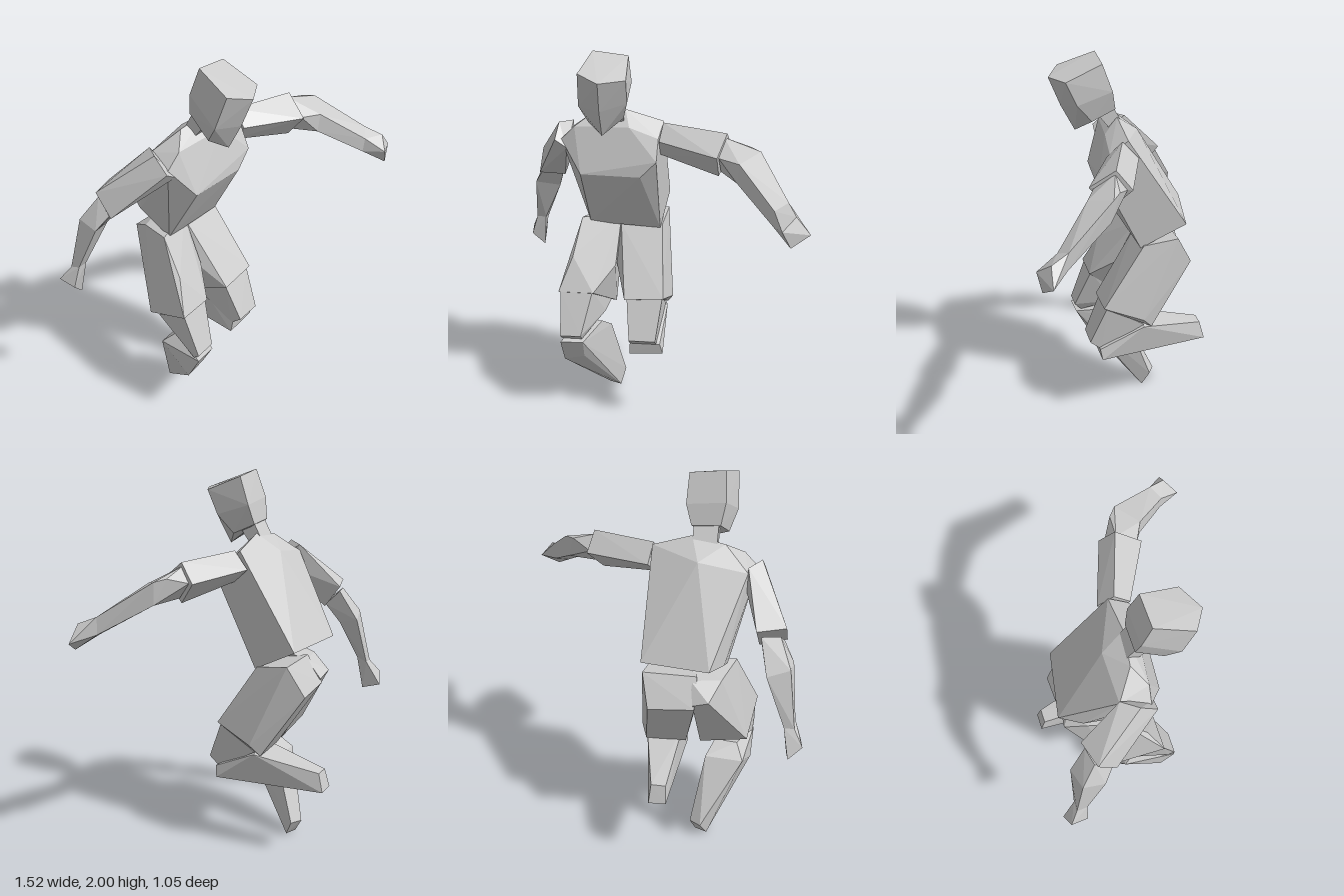
import * as THREE from 'three';
import { ConvexGeometry } from 'three/addons/geometries/ConvexGeometry.js';

const skin = new THREE.MeshStandardMaterial({ color: 0xcccccc });
skin.name = 'plainGrey';

// A faceted solid wrapped around its cross-section corners
function solid(name, ...rings) {
  const points = rings.flat().map((p) => new THREE.Vector3(...p));
  const mesh = new THREE.Mesh(new ConvexGeometry(points), skin);
  mesh.name = name;
  return mesh;
}

// A limb: consecutive cross-sections joined into named segments
function limb(name, segments) {
  const group = new THREE.Group();
  group.name = name;
  for (const [part, ...rings] of segments) group.add(solid(part, ...rings));
  return group;
}

export function createModel() {
  const model = new THREE.Group();
  model.name = 'crouchingFigure';

  // Torso: hips, chest, shoulders, upper back
  model.add(solid('torso',
    [[-0.36, 1.05, -0.115], [0.01, 1.03, -0.115], [0.04, 1.155, -0.35], [-0.3, 1.17, -0.41], [-0.36, 1.15, -0.3]],
    [[-0.374, 1.383, 0.08], [-0.07, 1.383, 0.1], [0.01, 1.465, 0.1]],
    [[-0.48, 1.54, 0], [0.015, 1.57, 0.05], [-0.41, 1.61, 0.01], [-0.13, 1.62, 0.04]],
    [[-0.44, 1.57, -0.14], [-0.32, 1.67, -0.05], [-0.2, 1.61, -0.145], [-0.156, 1.695, -0.03], [0.035, 1.637, -0.04]]));

  // Neck
  model.add(solid('neck',
    [[-0.28, 1.63, 0], [-0.16, 1.64, 0.01], [-0.16, 1.64, -0.07], [-0.28, 1.64, -0.07]],
    [[-0.28, 1.73, 0.08], [-0.16, 1.73, 0.08], [-0.16, 1.75, -0.01], [-0.28, 1.75, -0.01]]));

  // Head: five-sided, with a ridge down the face
  model.add(solid('head',
    [[-0.3, 2, 0.05], [-0.127, 1.98, 0.05], [-0.117, 1.903, 0.235], [-0.24, 1.9, 0.3], [-0.345, 1.93, 0.235]],
    [[-0.31, 1.86, 0], [-0.12, 1.84, 0], [-0.12, 1.78, 0.18], [-0.245, 1.75, 0.24], [-0.355, 1.76, 0.175]],
    [[-0.29, 1.75, -0.02], [-0.15, 1.74, -0.02], [-0.148, 1.685, 0.1], [-0.245, 1.615, 0.17], [-0.32, 1.665, 0.11]]));

  // Left arm, reaching out and forward
  const leftElbow = [[0.52, 1.555, 0.15], [0.42, 1.52, 0.25], [0.41, 1.425, 0.245], [0.51, 1.44, 0.16]];
  const leftWrist = [[0.655, 1.39, 0.385], [0.59, 1.36, 0.425], [0.585, 1.285, 0.42], [0.65, 1.3, 0.39]];
  model.add(limb('leftArm', [
    ['leftUpperArm',
      [[0.035, 1.637, -0.01], [0.02, 1.56, 0.065], [0.02, 1.475, 0], [0.05, 1.55, -0.09]],
      [[0.355, 1.625, 0.1], [0.312, 1.535, 0.22], [0.32, 1.415, 0.125], [0.38, 1.53, 0.025]]],
    ['leftElbow',
      [[0.34, 1.605, 0.1], [0.32, 1.53, 0.2], [0.33, 1.44, 0.13], [0.37, 1.53, 0.05], [0.47, 1.565, 0.11]], leftElbow],
    ['leftForearm', leftElbow, leftWrist],
    ['leftHand', leftWrist,
      [[0.69, 1.355, 0.47], [0.76, 1.27, 0.475], [0.67, 1.215, 0.51], [0.627, 1.3, 0.527]]],
  ]));

  // Right arm, hanging down and back
  const rightElbow = [[-0.68, 1.22, -0.4], [-0.57, 1.19, -0.43], [-0.565, 1.17, -0.33], [-0.69, 1.2, -0.29]];
  const rightWrist = [[-0.72, 0.95, -0.4], [-0.67, 0.95, -0.4], [-0.67, 0.93, -0.455], [-0.72, 0.93, -0.455]];
  model.add(limb('rightArm', [
    ['rightUpperArm',
      [[-0.5, 1.61, -0.06], [-0.51, 1.54, 0.02], [-0.44, 1.6, -0.14], [-0.45, 1.5, 0.02], [-0.43, 1.47, -0.1]],
      [[-0.645, 1.39, -0.31], [-0.507, 1.38, -0.35], [-0.52, 1.26, -0.26], [-0.65, 1.28, -0.22]]],
    ['rightElbow',
      [[-0.62, 1.35, -0.32], [-0.53, 1.35, -0.34], [-0.53, 1.27, -0.26], [-0.64, 1.28, -0.24]], rightElbow],
    ['rightForearm', rightElbow, rightWrist],
    ['rightHand', rightWrist,
      [[-0.765, 0.86, -0.5], [-0.7, 0.8, -0.527], [-0.69, 0.77, -0.43], [-0.755, 0.84, -0.41]]],
  ]));

  // Left leg, shin folded straight back
  model.add(limb('leftLeg', [
    ['leftThigh',
      [[-0.2, 1.04, -0.13], [0.02, 1.045, -0.13], [0.04, 1.075, -0.31], [-0.23, 1.07, -0.3], [0, 0.915, -0.395], [-0.23, 0.93, -0.385]],
      [[-0.22, 0.83, -0.08], [-0.16, 0.695, 0.09], [0.045, 0.71, 0.09], [0.08, 0.63, -0.12], [0.05, 0.57, -0.17], [-0.16, 0.57, -0.16]]],
    ['leftKnee',
      [[-0.15, 0.7, 0.07], [0.04, 0.71, 0.07], [0.04, 0.58, -0.13], [-0.14, 0.58, -0.13]],
      [[-0.13, 0.49, 0.16], [0.01, 0.49, 0.16], [0.01, 0.44, 0.1], [-0.13, 0.44, 0.1]]],
    ['leftShin',
      [[-0.135, 0.38, 0.1], [0.045, 0.39, 0.1], [0.03, 0.45, 0.11], [-0.13, 0.45, 0.11]],
      [[-0.13, 0.59, -0.1], [0.05, 0.57, -0.13]],
      [[-0.11, 0.41, -0.497], [-0.02, 0.405, -0.497], [-0.03, 0.505, -0.47], [-0.105, 0.505, -0.47]]],
  ]));

  // Right leg, shin slanting down and back
  model.add(limb('rightLeg', [
    ['rightThigh',
      [[-0.405, 1.075, -0.11], [-0.2, 1.085, -0.15], [-0.2, 1.05, -0.31], [-0.35, 1.05, -0.28], [-0.3, 0.98, -0.39], [-0.22, 0.95, -0.38]],
      [[-0.44, 0.9, 0.013], [-0.22, 0.84, -0.03], [-0.51, 0.725, 0.09], [-0.325, 0.725, 0.09], [-0.48, 0.62, -0.16], [-0.235, 0.57, -0.15]]],
    ['rightKnee',
      [[-0.5, 0.73, 0.08], [-0.33, 0.73, 0.08], [-0.25, 0.61, -0.12], [-0.46, 0.61, -0.12]],
      [[-0.495, 0.5, 0.165], [-0.385, 0.505, 0.165], [-0.385, 0.47, 0.13], [-0.49, 0.47, 0.13], [-0.28, 0.56, -0.04]]],
    ['rightShin',
      [[-0.495, 0.465, 0.165], [-0.375, 0.465, 0.16], [-0.3, 0.5, -0.03], [-0.26, 0.44, -0.11], [-0.42, 0.5, -0.04]],
      [[-0.49, 0.32, 0.09], [-0.38, 0.35, 0.1], [-0.46, 0.43, -0.11]],
      [[-0.29, 0, -0.22], [-0.225, 0, -0.195], [-0.2, 0.085, -0.235], [-0.26, 0.085, -0.27]]],
  ]));

  return model;
}
